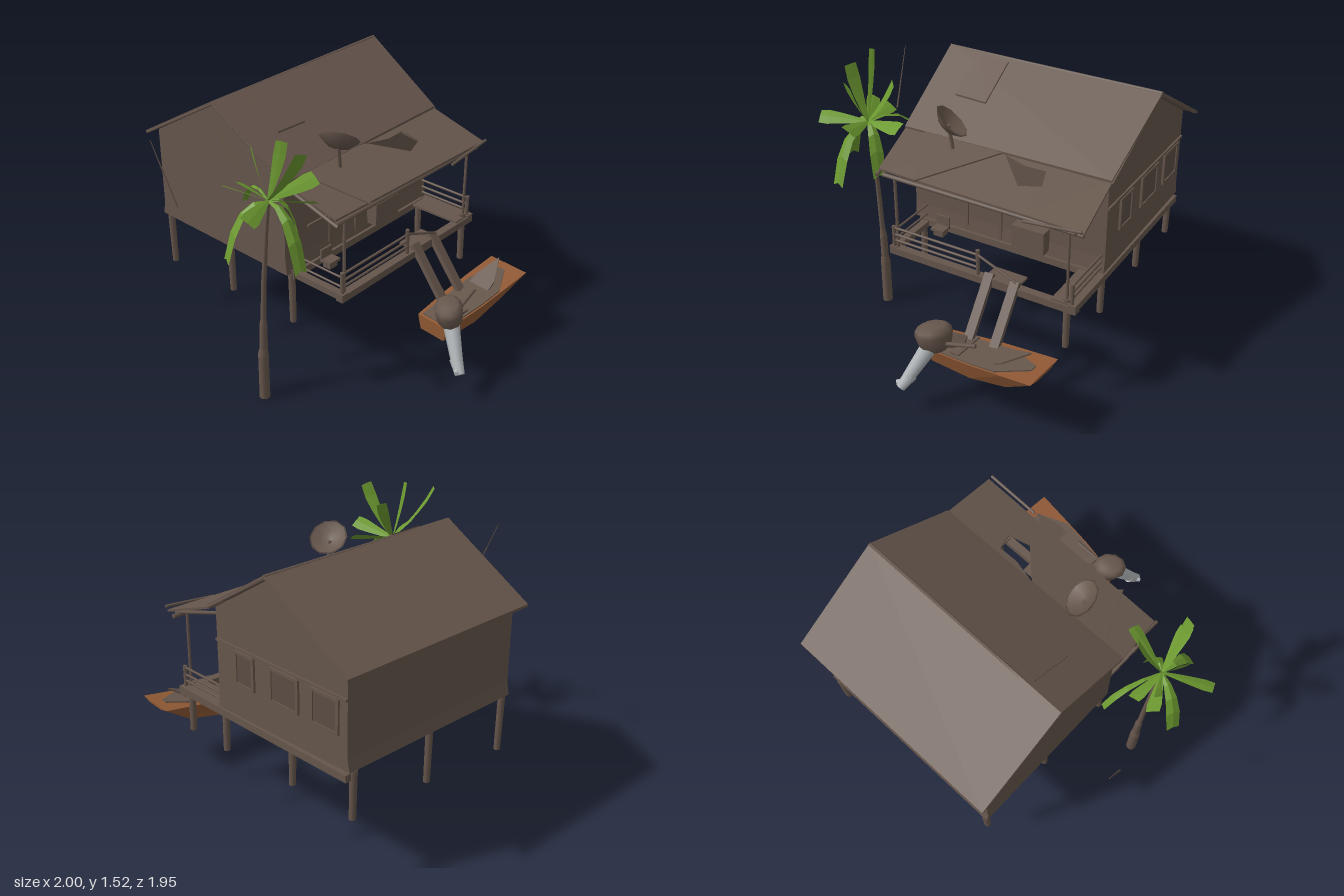
import * as THREE from 'three';

const mat = (name, color, side = THREE.FrontSide) => {
  const m = new THREE.MeshStandardMaterial({ color, side });
  m.name = name;
  return m;
};

export function createModel() {
  const wood = mat('weathered wood', 0x66564c);
  const dark = mat('dark wood', 0x5b4d44);
  const hullPaint = mat('orange hull', 0x8f5834);
  const leaf = mat('palm leaf', 0x6c9930, THREE.DoubleSide);
  const metal = mat('grey metal', 0xb0b4b7);
  const model = new THREE.Group();
  model.name = 'stiltHouse';
  const V = (x, y, z) => new THREE.Vector3(x, y, z);

  const group = (name, x = 0, z = 0, turn = 0) => {
    const g = new THREE.Group();
    g.name = name;
    g.position.set(x, 0, z);
    g.rotation.y = turn;
    model.add(g);
    return g;
  };
  const add = (parent, name, geo, m = wood) => {
    const mesh = new THREE.Mesh(geo, m);
    mesh.name = name;
    parent.add(mesh);
    return mesh;
  };
  const box = (parent, name, x0, x1, y0, y1, z0, z1, m = wood) =>
    add(parent, name, new THREE.BoxGeometry(x1 - x0, y1 - y0, z1 - z0)
      .translate((x0 + x1) / 2, (y0 + y1) / 2, (z0 + z1) / 2), m);
  // Round bar between two points
  const bar = (parent, name, a, b, r, m = wood, rTop = r, sides = 7) => {
    const A = V(...a), B = V(...b);
    const mesh = add(parent, name, new THREE.CylinderGeometry(rTop, r, A.distanceTo(B), sides), m);
    mesh.position.copy(A).lerp(B, 0.5);
    mesh.quaternion.setFromUnitVectors(V(0, 1, 0), B.sub(A).normalize());
    return mesh;
  };
  // Thin plate with an outline in x, z whose height follows a rule
  const slab = (parent, name, outline, height, thick = 0.014, m = wood, hole) => {
    const pts = (list) => list.map(([x, z]) => new THREE.Vector2(x, -z));
    const shape = new THREE.Shape(pts(outline));
    if (hole) shape.holes.push(new THREE.Path(pts(hole)));
    const geo = new THREE.ExtrudeGeometry(shape, { depth: thick, bevelEnabled: false }).rotateX(-Math.PI / 2);
    const p = geo.attributes.position;
    for (let i = 0; i < p.count; i++) p.setY(i, p.getY(i) + height(p.getX(i), p.getZ(i)));
    geo.computeVertexNormals();
    return add(parent, name, geo, m);
  };

  // House, turned on its plot
  const house = group('house', 0, 0, -0.2995);
  const ridge = -0.347;
  const mainY = (x) => 1.47 - Math.abs(x - ridge) * 0.6;
  const porchY = (x) => 1.172 - (x - 0.13) * 0.33;

  // Walls: gable section run front to back, flared at the foot
  const section = new THREE.Shape([[-0.845, 0.65], [0.11, 0.635], [0.1, 0.72], [0.1, 1.185], [ridge, 1.463],
    [-0.83, 1.17], [-0.83, 0.72]].map(([x, y]) => new THREE.Vector2(x, y)));
  add(house, 'walls', new THREE.ExtrudeGeometry(section, { depth: 1.155, bevelEnabled: false }).translate(0, 0, -0.69));

  // Roof
  slab(house, 'roofLeft', [[-0.891, 0.505], [ridge, 0.505], [ridge, -0.752], [-0.891, -0.752]], mainY);
  slab(house, 'roofRight', [[ridge, 0.505], [0.14, 0.49], [0.13, -0.715], [ridge, -0.752]], mainY);
  slab(house, 'porchRoof', [[0.12, 0.49], [0.433, 0.455], [0.44, 0.1], [0.447, -0.4], [0.453, -0.735], [0.12, -0.715]],
    porchY, 0.012, wood, [[0.167, -0.376], [0.262, -0.405], [0.298, -0.29], [0.135, -0.124], [0.17, -0.262]]);
  slab(house, 'roofPatch', [[-0.31, 0.12], [-0.075, 0.12], [-0.08, 0.31], [-0.32, 0.31]], (x) => mainY(x) + 0.01);
  slab(house, 'loosePanel', [[0.14, -0.105], [0.09, 0.39], [0.455, 0.225]], (x) => porchY(x) + 0.014, 0.008);
  bar(house, 'ridgePole', [ridge, 1.472, 0.5], [ridge, 1.478, -0.75], 0.01);
  for (const z of [0.5, -0.74]) {
    bar(house, 'bargeBoard', [-0.88, 1.15, z], [ridge, 1.468, z], 0.007);
    bar(house, 'bargeBoard', [ridge, 1.468, z], [0.13, 1.18, z * 0.97], 0.007);
    bar(house, 'porchRafter', [0.1, 1.15, z * 0.92], [0.45, 1.05, z * 0.92], 0.01);
  }
  bar(house, 'porchBeam', [0.42, 1.045, 0.44], [0.425, 1.045, -0.72], 0.012);
  bar(house, 'looseBatten', [0.47, 1.09, -0.73], [0.475, 1.06, -0.42], 0.008);

  // Floor edge, and the open deck frame with its few remaining boards
  box(house, 'backBeam', -0.83, 0.44, 0.595, 0.635, -0.7, -0.66);
  box(house, 'deckEdge', 0.395, 0.44, 0.585, 0.625, -0.7, 0.41);
  box(house, 'deckFrontBeam', 0.1, 0.44, 0.595, 0.63, 0.37, 0.41);
  box(house, 'deckInnerBeam', 0.085, 0.125, 0.6, 0.64, -0.66, 0.43);
  box(house, 'deckBoards', 0.1, 0.43, 0.622, 0.635, -0.69, -0.56);
  box(house, 'stairLanding', 0.33, 0.44, 0.622, 0.635, -0.37, -0.18);

  // Stilts
  for (const [x, z, foot] of [[-0.825, 0.43, 0.33], [-0.355, 0.42, 0.33], [0.1, 0.42, 0.33], [-0.8, -0.1, 0.34],
    [-0.83, -0.65, 0.38], [-0.41, -0.65, 0.38], [0.08, -0.67, 0.38], [0.41, -0.64, 0.36]]) {
    bar(house, 'stilt', [x + 0.006, foot, z], [x, 0.65, z], 0.018, wood, 0.02);
  }

  // Porch posts and railings
  bar(house, 'porchPost', [0.415, 0.62, 0.37], [0.415, 1.05, 0.37], 0.009);
  bar(house, 'porchPost', [0.415, 0.62, -0.64], [0.415, 1.05, -0.64], 0.008);
  for (const y of [0.665, 0.7, 0.74]) {
    bar(house, 'sideRail', [0.42, y, 0.4], [0.42, y, -0.13], 0.007);
    bar(house, 'backRail', [0.1, y, -0.67], [0.42, y, -0.67], 0.007);
  }
  for (const y of [0.665, 0.72]) bar(house, 'frontRail', [0.1, y, 0.39], [0.42, y, 0.39], 0.006);
  for (const z of [0.39, -0.13, -0.67]) {
    bar(house, 'railPost', [0.42, 0.61, z], [0.42, z === -0.13 ? 0.77 : 0.75, z], 0.011);
  }
  bar(house, 'fallenRail', [0.425, 0.745, -0.13], [0.43, 0.655, -0.36], 0.007);

  // Stairs
  for (const z of [-0.2, -0.35]) {
    const stringer = box(house, 'stairStringer', -0.175, 0.175, -0.014, 0.014, -0.025, 0.025);
    stringer.position.set(0.52, 0.51, z);
    stringer.rotation.z = -0.92;
  }

  // Windows in the back wall
  for (const [a, b] of [[-0.18, -0.05], [-0.5, -0.31], [-0.77, -0.6]]) {
    box(house, 'windowPane', a, b, 0.83, 0.99, -0.696, -0.689, dark);
    for (const x of [a, b]) box(house, 'windowFrame', x - 0.009, x + 0.009, 0.82, 1, -0.702, -0.685);
    for (const y of [0.825, 0.995]) box(house, 'windowFrame', a, b, y - 0.008, y + 0.008, -0.702, -0.685);
  }
  box(house, 'windowRail', -0.83, 0.1, 1.008, 1.022, -0.7, -0.685);

  // Porch wall: door frame, shutter, crate and seat
  for (const z of [0.13, -0.08]) box(house, 'doorPost', 0.095, 0.11, 0.64, 1.1, z - 0.008, z + 0.008);
  box(house, 'doorLintel', 0.095, 0.11, 1.09, 1.106, -0.09, 0.14);
  for (const y of [0.85, 1.02]) box(house, 'shutterRail', 0.095, 0.11, y, y + 0.012, 0.14, 0.3);
  box(house, 'crate', 0.095, 0.165, 0.67, 0.8, -0.37, -0.18);
  box(house, 'seat', 0.17, 0.24, 0.66, 0.675, 0.2, 0.28);
  box(house, 'seatBase', 0.18, 0.23, 0.63, 0.66, 0.21, 0.27);
  box(house, 'seatBack', 0.17, 0.18, 0.675, 0.73, 0.2, 0.28);

  // Roof dish, tilted up and back
  const dish = new THREE.Group();
  dish.name = 'roofDish';
  dish.position.set(0.14, 1.32, 0.212);
  dish.quaternion.setFromUnitVectors(V(0, 1, 0), V(-0.12, 0.73, -0.68).normalize());
  model.add(dish);
  const bowl = [[0.001, -0.042], [0.06, -0.03], [0.106, 0.008], [0.097, 0.01], [0.055, -0.02], [0.001, -0.03]];
  add(dish, 'dishBowl', new THREE.LatheGeometry(bowl.map(([x, y]) => new THREE.Vector2(x, y)), 10));
  bar(model, 'dishArm', [0.14, 1.14, 0.2], [0.14, 1.3, 0.225], 0.01);

  // Boat: four cross-sections joined in a loop, bow towards its own -z
  const boat = group('boat', 0.762, -0.135, -0.382);
  const rimY = (x, z) => 0.375 - z * 0.136;
  const rings = [[0.3, 0.252, 0.08, 0.102], [0.05, 0.262, 0.09, 0.12], [-0.16, 0.3, 0.08, 0.122], [-0.33, 0.405, 0.06, 0.122]];
  const pos = [], idx = [];
  for (const [z, low, wLow, wTop] of rings) {
    pos.push(-wTop, rimY(0, z), z, -wLow, low, z, wLow, low, z, wTop, rimY(0, z), z);
  }
  for (let s = 0; s < 3; s++) for (let k = 0; k < 4; k++) {
    const a = s * 4 + k, b = s * 4 + (k + 1) % 4;
    idx.push(a, b, b + 4, a, b + 4, a + 4);
  }
  idx.push(0, 2, 1, 0, 3, 2, 12, 13, 14, 12, 14, 15);
  // orient the caps and sides outwards
  for (let i = 0; i < idx.length; i += 3) {
    const [a, b, c] = [0, 1, 2].map((k) => V().fromArray(pos, idx[i + k] * 3));
    const n = b.clone().sub(a).cross(c.clone().sub(a));
    const out = a.clone().add(b).add(c).divideScalar(3).sub(V(0, 0.335, 0));
    if (n.dot(out) < 0) [idx[i + 1], idx[i + 2]] = [idx[i + 2], idx[i + 1]];
  }
  let hull = new THREE.BufferGeometry();
  hull.setAttribute('position', new THREE.Float32BufferAttribute(pos, 3));
  hull.setIndex(idx);
  hull = hull.toNonIndexed();
  hull.computeVertexNormals();
  add(boat, 'hull', hull, hullPaint);
  slab(boat, 'boatInside', [[-0.08, 0.285], [0.096, 0.285], [0.112, 0.03], [0.112, -0.11], [0.02, -0.27], [-0.02, -0.27], [-0.088, -0.1]],
    rimY, 0.007);
  slab(boat, 'bowBoard', [[-0.065, -0.06], [0.065, -0.06], [0.06, -0.13], [-0.009, -0.25], [-0.06, -0.13]],
    (x, z) => 0.375 + (-0.06 - z) * 0.58, 0.01);
  box(boat, 'boatBench', -0.09, 0.09, 0.345, 0.375, 0.12, 0.17);

  // Outboard motor
  const motor = group('outboardMotor');
  const cowl = [[0, -0.08], [0.04, -0.075], [0.066, -0.04], [0.076, 0.02], [0.072, 0.05], [0.05, 0.068], [0, 0.07]];
  const head = add(motor, 'cowling', new THREE.LatheGeometry(cowl.map(([x, y]) => new THREE.Vector2(x, y)), 10).scale(1, 1, 1.28));
  head.position.set(0.74, 0.42, 0.15);
  head.rotation.set(0.1, 0.4, 0.1);
  bar(motor, 'tiller', [0.76, 0.4, 0.1], [0.8, 0.445, -0.08], 0.011);
  box(motor, 'clamp', 0.65, 0.73, 0.33, 0.39, 0.0, 0.09, dark);
  bar(motor, 'shaft', [0.765, 0.365, 0.175], [0.835, 0.215, 0.265], 0.044, metal, 0.032, 9);
  bar(motor, 'gearCase', [0.825, 0.225, 0.255], [0.865, 0.165, 0.3], 0.036, metal, 0.026, 9);
  bar(motor, 'propellerHub', [0.84, 0.19, 0.27], [0.852, 0.185, 0.325], 0.022, metal, 0.012);

  // Palm trunk
  const palm = group('palm');
  const trunk = [[-0.07, 0, 0.69, 0.029], [-0.07, 0.27, 0.69, 0.028], [-0.067, 0.31, 0.69, 0.022], [-0.063, 0.45, 0.69, 0.021],
    [-0.06, 0.5, 0.692, 0.015], [-0.05, 0.7, 0.695, 0.014], [-0.025, 1.0, 0.7, 0.011], [0, 1.2, 0.71, 0.009]];
  for (let i = 1; i < trunk.length; i++) {
    bar(palm, 'trunk', trunk[i - 1].slice(0, 3), trunk[i].slice(0, 3), trunk[i - 1][3], wood, trunk[i][3], 9);
  }
  // Fronds (tip and width): wedges with a blunt tip, tilted when raised, folded when hanging
  const crown = V(0, 1.2, 0.71);
  const fronds = [[0.19, 1.49, 0.74, 0.8], [-0.03, 1.51, 0.8, 0.8], [-0.23, 1.52, 0.75, 0.4], [0.0, 1.44, 0.56, 0.7],
    [0.25, 1.26, 0.73, 1], [-0.22, 1.25, 0.75, 0.9], [0.03, 1.22, 0.97, 1], [0.14, 1.25, 0.49, 1],
    [0.22, 0.93, 0.82, 0.85], [-0.15, 0.93, 0.87, 0.85], [0.12, 0.95, 0.62, 0.85], [-0.24, 1.05, 0.51, 0.4],
    [-0.19, 1.22, 0.64, 0.9]];
  for (const [x, y, z, width] of fronds) {
    const end = V(x, y, z), d = end.clone().sub(crown);
    const hanging = d.y < -0.1;
    const ctrl = crown.clone().add(V(d.x * 0.7, hanging ? 0.06 : d.y * 0.5 + 0.01, d.z * 0.7));
    const spine = new THREE.QuadraticBezierCurve3(crown, ctrl, end);
    const side = V(-d.z, 0, d.x).normalize();
    // tilt raised leaves so their upper face leans to the front left
    if (!hanging) side.applyAxisAngle(d.clone().normalize(), side.x - side.z > 0 ? 0.55 : -0.55);
    const fold = hanging ? 0.6 : 0.1;
    const p = [], f = [];
    [0.008, 0.024, 0.036, 0.044, 0.04].forEach((base, i) => {
      const c = spine.getPoint(i / 4), w = base * width;
      for (const k of [-1, 0, 1]) {
        p.push(c.x + side.x * w * k, c.y + side.y * w * k - Math.abs(k) * w * fold, c.z + side.z * w * k);
      }
      if (i) for (const k of [0, 1]) {
        const a = i * 3 - 3 + k;
        f.push(a, a + 4, a + 1, a, a + 3, a + 4);
      }
    });
    let frond = new THREE.BufferGeometry();
    frond.setAttribute('position', new THREE.Float32BufferAttribute(p, 3));
    frond.setIndex(f);
    frond = frond.toNonIndexed();
    frond.computeVertexNormals();
    add(palm, 'frond', frond, leaf);
  }

  // Stray cane beside the front wall
  bar(model, 'cane', [-0.5, 1.05, 0.72], [-0.64, 1.38, 0.7], 0.005, wood, 0.002, 5);
  return model;
}
